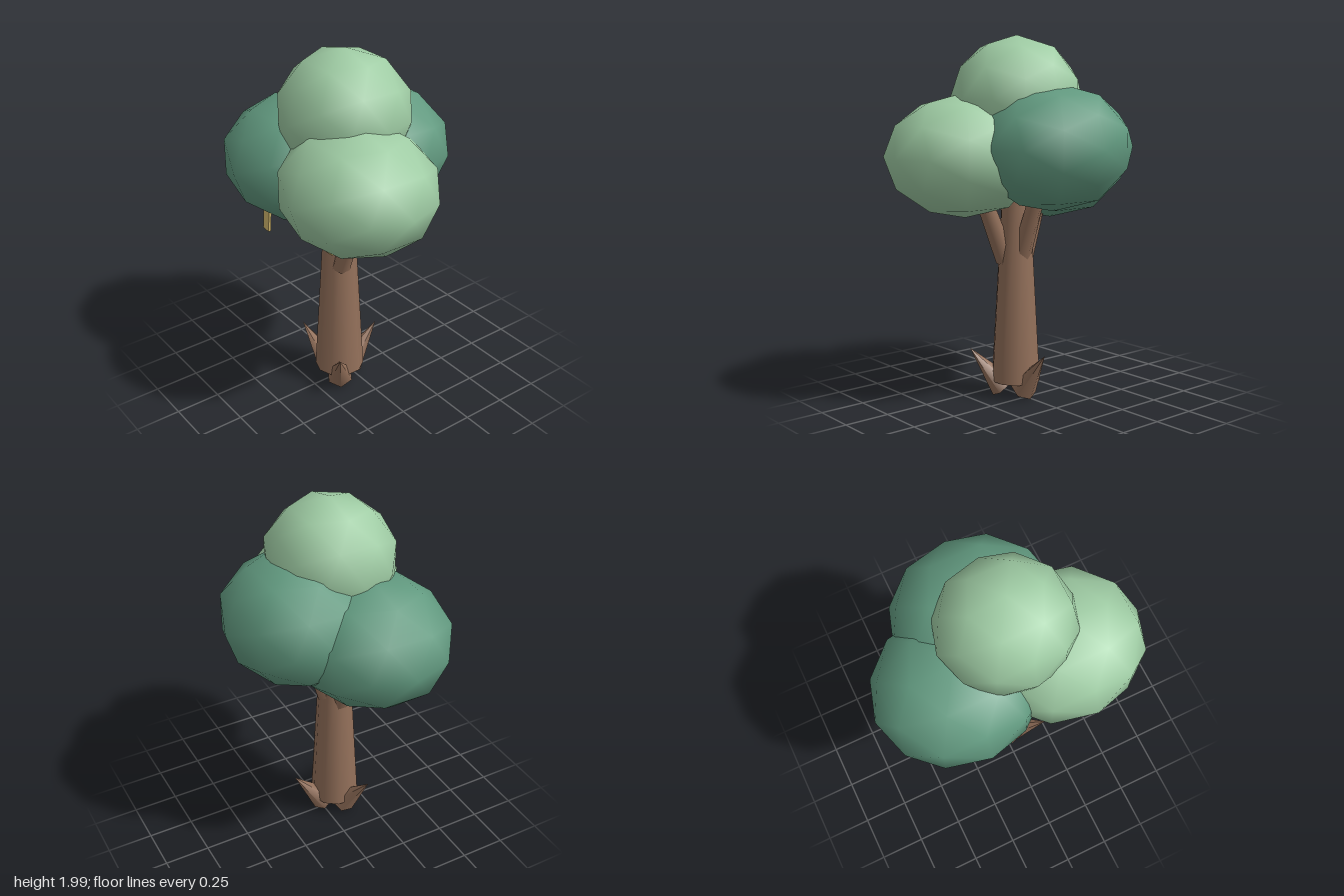
import * as THREE from 'three';

const material = (name, color) => {
  const m = new THREE.MeshStandardMaterial({ color });
  m.name = name;
  return m;
};

export function createModel() {
  const bark = material('bark', 0x93705a);
  const lightLeaf = material('lightLeaf', 0x9fcca4);
  const darkLeaf = material('darkLeaf', 0x629a80);
  const straw = material('straw', 0xd6bb70);

  const tree = new THREE.Group();
  tree.name = 'tree';

  const add = (name, geometry, mat) => {
    const mesh = new THREE.Mesh(geometry, mat);
    mesh.name = name;
    tree.add(mesh);
    return mesh;
  };

  // Tapered round limb running from one point to another
  const limb = (name, from, to, r0, r1, sides) => {
    const a = new THREE.Vector3(...from);
    const b = new THREE.Vector3(...to);
    const dir = b.clone().sub(a);
    const mesh = add(name, new THREE.CylinderGeometry(r1, r0, dir.length(), sides), bark);
    mesh.position.copy(a).add(b).multiplyScalar(0.5);
    mesh.quaternion.setFromUnitVectors(new THREE.Vector3(0, 1, 0), dir.normalize());
    return mesh;
  };

  // Trunk
  const cx = 0.01, cz = 0.08;
  limb('trunk', [cx, 0.1, cz], [cx, 1.12, cz - 0.005], 0.138, 0.08, 10);

  // Branches reaching towards the three lower crowns
  limb('rightBranch', [cx - 0.05, 0.78, 0.075], [-0.17, 1.09, 0.1], 0.055, 0.045, 6);
  limb('leftBranch', [cx + 0.05, 0.78, 0.105], [0.2, 1.11, 0.11], 0.055, 0.045, 6);
  limb('backBranch', [cx, 0.78, 0.04], [0, 1.11, -0.075], 0.055, 0.045, 6);

  // Pointed roots spread evenly around the foot
  for (const degrees of [35, 160, 272]) {
    const angle = THREE.MathUtils.degToRad(degrees);
    const at = (r, y) => [cx + Math.cos(angle) * r, y, cz + Math.sin(angle) * r];
    limb('root', at(0.07, 0.06), at(0.255, 0.285), 0.076, 0, 6);
  }

  // Leaf crowns: centre, radii, colour
  const crowns = [
    ['rightCrown', [-0.28, 1.325, 0.12], [0.45, 0.335, 0.42], darkLeaf],
    ['leftCrown', [0.29, 1.362, 0.165], [0.44, 0.333, 0.405], lightLeaf],
    ['backCrown', [-0.04, 1.41, -0.175], [0.45, 0.34, 0.4], darkLeaf],
    ['topCrown', [0.025, 1.66, 0.05], [0.365, 0.34, 0.35], lightLeaf],
  ];
  for (const [name, centre, radii, mat] of crowns) {
    const crown = add(name, new THREE.IcosahedronGeometry(1, 1), mat);
    crown.position.set(...centre);
    crown.scale.set(...radii);
  }

  // Small slats hanging below the crowns
  const slat = (name, x, y, z, tilt) => {
    const mesh = add(name, new THREE.BoxGeometry(0.053, 0.16, 0.015), straw);
    mesh.position.set(x, y, z);
    mesh.rotation.z = tilt;
  };
  slat('rightSlat', -0.29, 1.01, 0.342, -0.12);
  slat('leftSlat', 0.31, 1.147, 0.355, 0);

  return tree;
}
